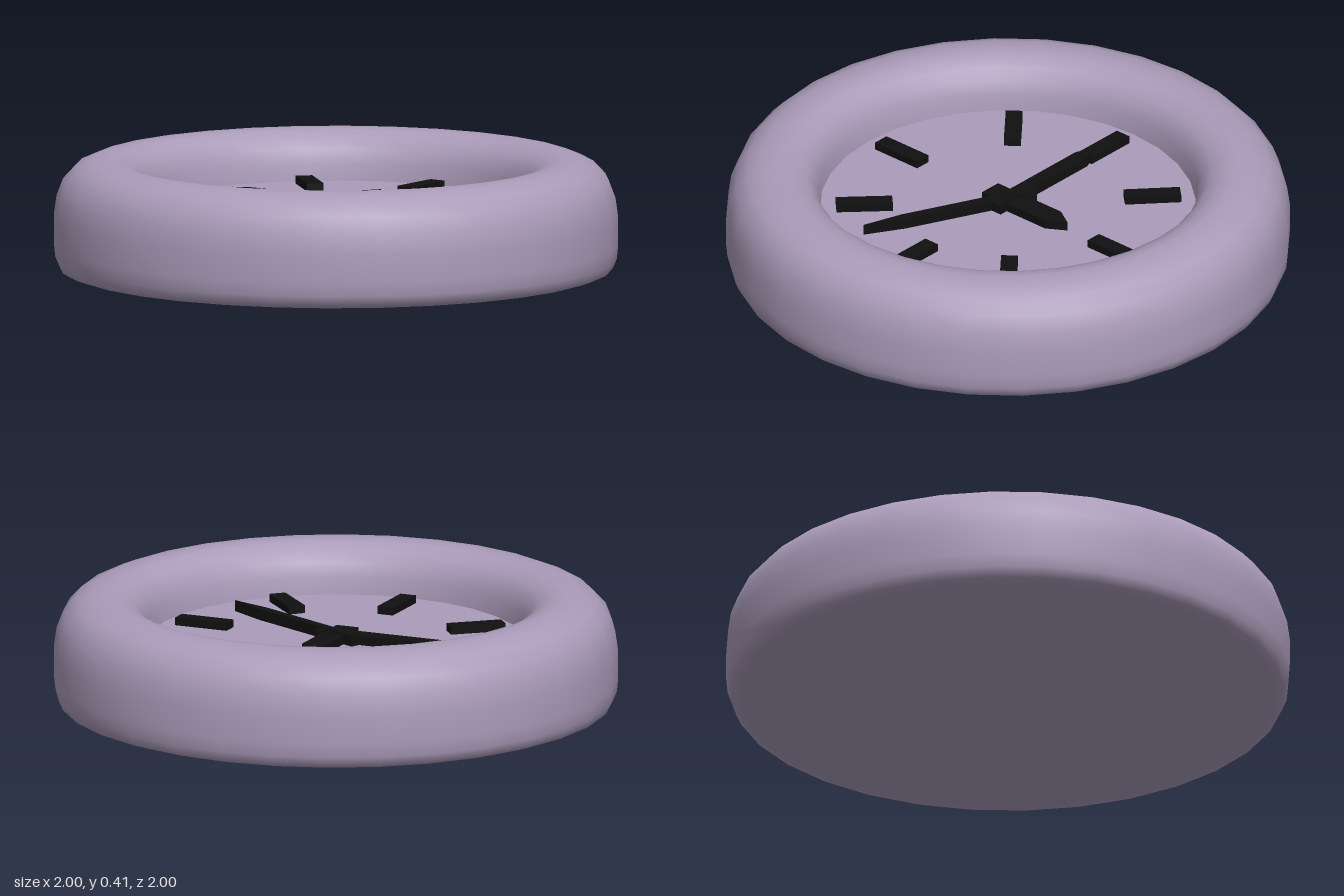
import * as THREE from 'three';

const bodyMat = new THREE.MeshStandardMaterial({ color: 0xab9cba });
const blackMat = new THREE.MeshStandardMaterial({ color: 0x101010 });
const FLOOR = 0.23;

function add(group, name, geometry, material) {
  const mesh = new THREE.Mesh(geometry, material);
  mesh.name = name;
  group.add(mesh);
  return mesh;
}

// Flat hand outline drawn along +x, extruded upwards from height y
function handGeometry(tail, shoulder, tip, width, y, thickness) {
  const w = width / 2;
  const shape = new THREE.Shape([
    [-tail, -w], [shoulder, -w], [tip, 0], [shoulder, w], [-tail, w],
  ].map(([a, b]) => new THREE.Vector2(a, b)));
  const g = new THREE.ExtrudeGeometry(shape, { depth: thickness, bevelEnabled: false });
  return g.rotateX(-Math.PI / 2).translate(0, y, 0);
}

export function createModel() {
  const clock = new THREE.Group();
  clock.name = 'wallClock';

  // Rounded case: flat back, bulging side, rolled rim and recess wall
  const profile = [
    [0, 0], [0.9, 0], [0.945, 0.003], [0.98, 0.015], [0.995, 0.05], [1, 0.1],
    [1, 0.2], [0.99, 0.27], [0.967, 0.33], [0.925, 0.375], [0.87, 0.398],
    [0.81, 0.405], [0.765, 0.398], [0.72, 0.375], [0.69, 0.34], [0.672, 0.29],
    [0.666, FLOOR],
  ].map(([r, y]) => new THREE.Vector2(r, y));
  add(clock, 'case', new THREE.LatheGeometry(profile, 32), bodyMat);

  // Dial at the bottom of the recess
  add(clock, 'dial', new THREE.CircleGeometry(0.668, 32).rotateX(-Math.PI / 2).translate(0, FLOOR, 0), bodyMat);

  // Hour markers: centre x, centre z, turn in degrees
  const markers = [
    [0.005, -0.51, 90], [0.375, -0.34, 40], [0.51, -0.005, 0], [0.355, 0.365, -45],
    [-0.005, 0.51, 90], [-0.395, 0.33, 40], [-0.51, 0, 0], [-0.37, -0.355, -43],
  ];
  for (const [x, z, deg] of markers) {
    const marker = add(clock, 'hourMarker', new THREE.BoxGeometry(0.2, 0.03, 0.06), blackMat);
    marker.position.set(x, FLOOR + 0.013, z);
    marker.rotation.y = THREE.MathUtils.degToRad(deg);
  }

  // Hands, stacked slightly above one another
  const hour = add(clock, 'hourHand', handGeometry(0.09, 0.21, 0.28, 0.085, FLOOR, 0.032), blackMat);
  hour.position.x = -0.005;
  hour.rotation.y = Math.PI / 2;
  const minute = add(clock, 'minuteHand', handGeometry(0.07, 0.39, 0.45, 0.056, FLOOR, 0.036), blackMat);
  minute.rotation.y = Math.PI;
  const second = add(clock, 'secondHand', handGeometry(0.105, 0.4, 0.555, 0.034, FLOOR, 0.04), blackMat);
  second.rotation.y = THREE.MathUtils.degToRad(-25.5);

  return clock;
}
